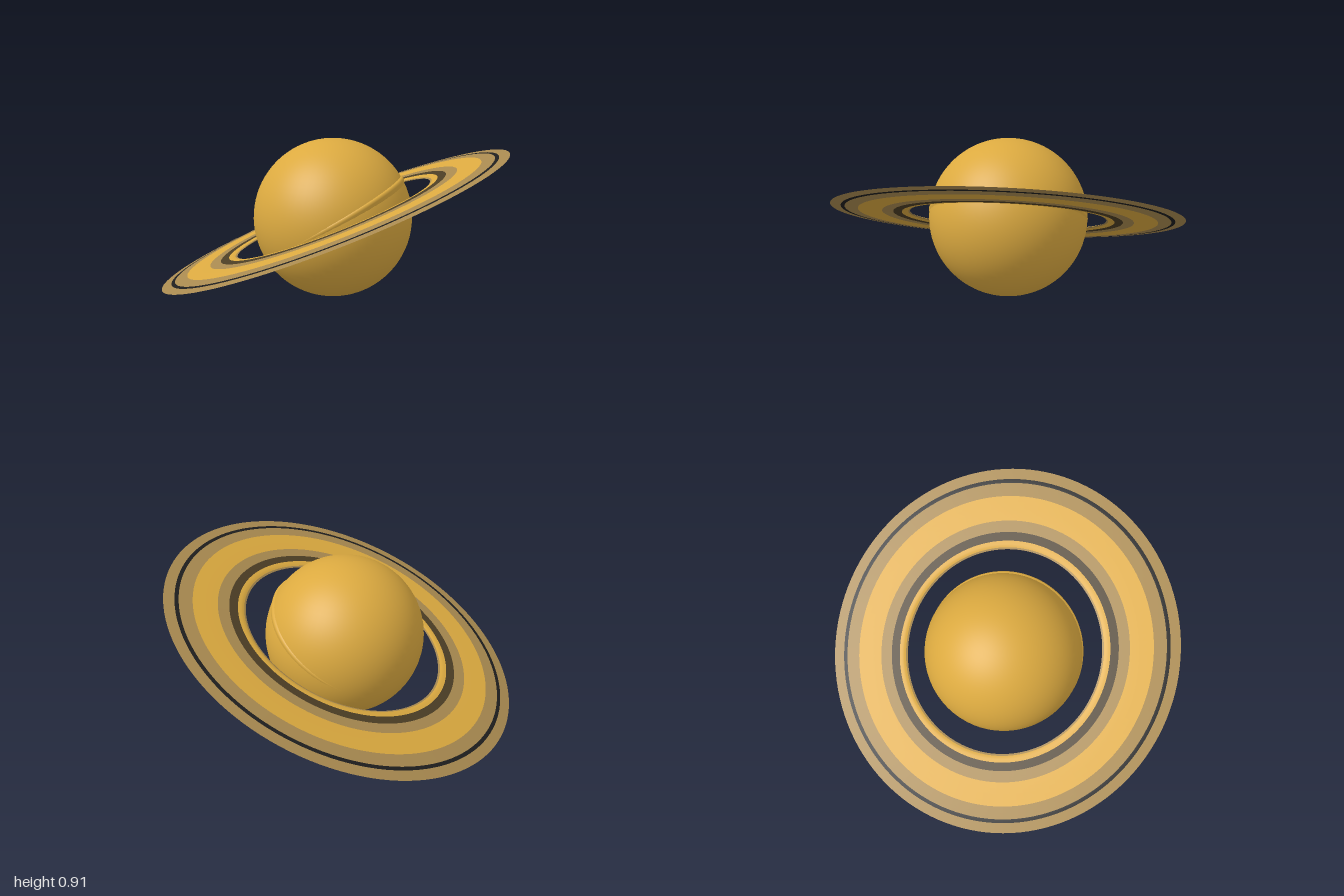
import * as THREE from 'three';

const mat = (name, color) => {
  const m = new THREE.MeshStandardMaterial({ color });
  m.name = name;
  return m;
};

// Half thickness of the ring disc at radius r: thin, tapering to both rims
const PROFILE = [[0.562, 0], [0.585, 0.009], [0.75, 0.012], [0.85, 0.012], [0.93, 0.007], [1, 0]];
function halfThickness(r) {
  for (let i = 1; i < PROFILE.length; i++) {
    const [r0, h0] = PROFILE[i - 1], [r1, h1] = PROFILE[i];
    if (r <= r1) return h0 + (h1 - h0) * (r - r0) / (r1 - r0);
  }
  return 0;
}

// One face (side = 1 top, -1 underside) of a coloured ring band
function bandFace(r0, r1, side) {
  const points = [];
  for (let i = 0; i <= 4; i++) {
    const t = side > 0 ? 1 - i / 4 : i / 4;
    const r = r0 + (r1 - r0) * t;
    points.push(new THREE.Vector2(r, side * halfThickness(r)));
  }
  return new THREE.LatheGeometry(points, 128);
}

export function createModel() {
  const gold = mat('gold', 0xdcaa40);
  const tan = mat('tan', 0xa98a50);
  const brown = mat('darkBrown', 0x4c3e25);
  const black = mat('black', 0x1e1e1e);

  const model = new THREE.Group();
  model.name = 'ringedPlanet';

  // Planet globe
  const globe = new THREE.Mesh(new THREE.SphereGeometry(0.455, 64, 40), gold);
  globe.name = 'globe';
  globe.position.y = 0.457;
  model.add(globe);

  // Low ridge around the globe, shifted so it fades out on one side
  const ridgePoints = [[0.447, -0.024], [0.455, -0.004], [0.457, 0.006], [0.453, 0.014], [0.445, 0.02]]
    .map(([r, y]) => new THREE.Vector2(r, y));
  const ridge = new THREE.Mesh(new THREE.LatheGeometry(ridgePoints, 96), gold);
  ridge.name = 'globeRidge';
  const tilt = Math.PI / 6;
  ridge.rotation.z = tilt;
  ridge.position.set(0.008 * Math.cos(tilt), 0.457 + 0.008 * Math.sin(tilt), 0);
  model.add(ridge);

  // Tilted ring system, slightly stretched along its slope
  const rings = new THREE.Group();
  rings.name = 'rings';
  rings.position.y = 0.455;
  rings.rotation.z = 0.383;
  rings.scale.x = 1.057;
  const bands = [
    ['innerRim', 0.562, 0.572, tan],
    ['innerBand', 0.572, 0.608, gold],
    ['darkBand', 0.608, 0.655, brown],
    ['middleBand', 0.655, 0.717, tan],
    ['broadBand', 0.717, 0.85, gold],
    ['outerBand', 0.85, 0.922, tan],
    ['gapLine', 0.922, 0.943, black],
    ['outerRim', 0.943, 1, tan],
  ];
  for (const [name, r0, r1, material] of bands) {
    const band = new THREE.Group();
    band.name = name;
    for (const side of [1, -1]) {
      const face = new THREE.Mesh(bandFace(r0, r1, side), material);
      face.name = name + (side > 0 ? 'Top' : 'Underside');
      band.add(face);
    }
    rings.add(band);
  }
  model.add(rings);
  return model;
}
